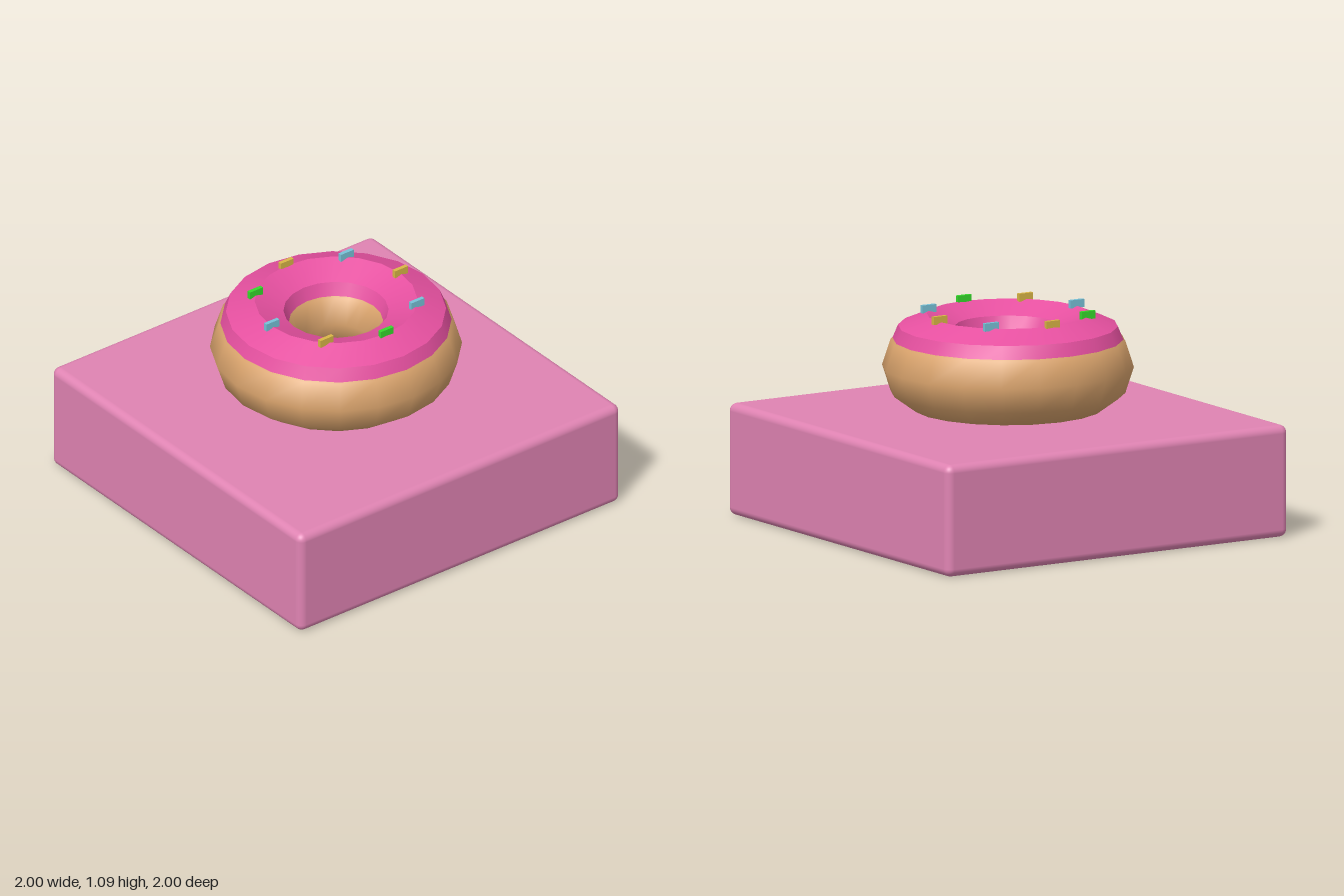
import * as THREE from 'three';
import { toCreasedNormals } from 'three/addons/utils/BufferGeometryUtils.js';
import { RoundedBoxGeometry } from 'three/addons/geometries/RoundedBoxGeometry.js';

const material = (name, color) => {
  const m = new THREE.MeshStandardMaterial({ color });
  m.name = name;
  return m;
};

export function createModel() {
  const group = new THREE.Group();
  group.name = 'doughnutOnBlock';

  const boxPink = material('boxPink', 0xdf83b2);
  const dough = material('dough', 0xd9a36c);
  const icingPink = material('icingPink', 0xe650a0);
  const sprinkleColors = [
    material('sprinkleYellow', 0xdab646),
    material('sprinkleBlue', 0x78c2d8),
    material('sprinkleGreen', 0x36da2c),
  ];

  const add = (name, geometry, mat, x, y, z) => {
    const mesh = new THREE.Mesh(geometry, mat);
    mesh.name = name;
    mesh.position.set(x, y, z);
    group.add(mesh);
  };

  // Rounded block underneath
  add('block', new RoundedBoxGeometry(2, 0.56, 2, 4, 0.04), boxPink, 0, 0.28, 0);

  // Ring of dough, ten-sided in section and smooth
  const ring = new THREE.TorusGeometry(0.4, 0.22, 10, 20).rotateX(-Math.PI / 2);
  add('doughRing', ring, dough, 0, 0.8, 0);

  // Icing ring, eight-sided in section with sharp ridges
  const icing = new THREE.TorusGeometry(0.4, 0.2, 8, 20).rotateX(-Math.PI / 2);
  add('icing', toCreasedNormals(icing, 0.7), icingPink, 0, 0.86, 0);

  // Sprinkles around the top, all lying along x
  const sprinkle = new THREE.BoxGeometry(0.08, 0.04, 0.02);
  for (let i = 0; i < 8; i++) {
    const a = (i * Math.PI) / 4;
    add(`sprinkle${i + 1}`, sprinkle, sprinkleColors[i % 3],
      0.4 * Math.cos(a), 1.07, 0.4 * Math.sin(a));
  }
  return group;
}
